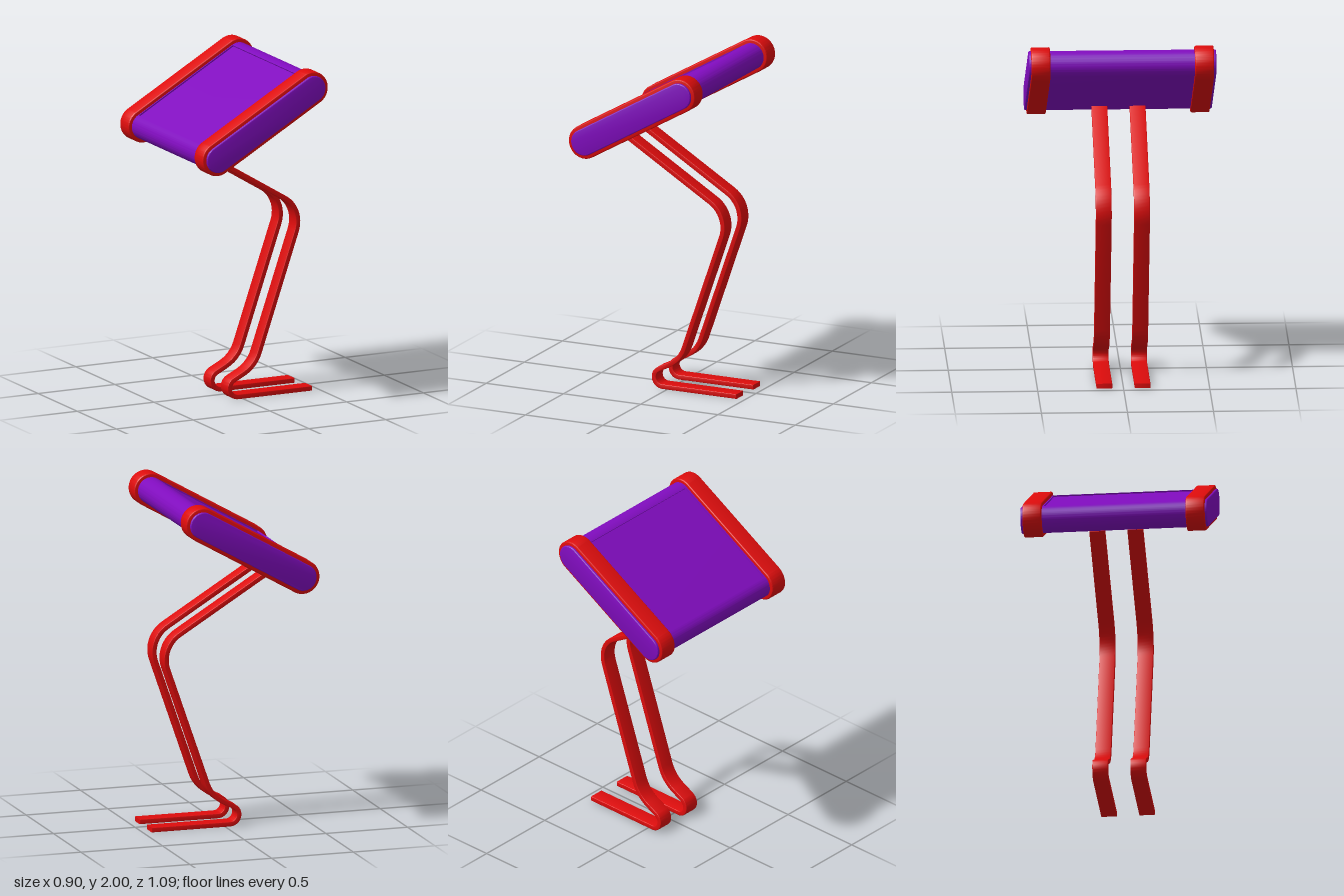
import * as THREE from 'three';
import { toCreasedNormals } from 'three/addons/utils/BufferGeometryUtils.js';

const RED = new THREE.MeshStandardMaterial({ color: 0xdd0c0c });
const PURPLE = new THREE.MeshStandardMaterial({ color: 0x800cbe });

// Tilted head: low end, tilt and distance between the two rounded ends
const LOW = new THREE.Vector2(-0.352, 1.545), HIGH = new THREE.Vector2(0.264, 1.9);
const LENGTH = LOW.distanceTo(HIGH);
const TILT = Math.atan2(HIGH.y - LOW.y, HIGH.x - LOW.x);

// Extrude a shape between two z values, bevel kept inside the outline
function slab(name, shape, z0, z1, bevel, material) {
  const geometry = new THREE.ExtrudeGeometry(shape, {
    depth: z1 - z0 - 2 * bevel, curveSegments: 24, bevelEnabled: bevel > 0,
    bevelThickness: bevel, bevelSize: bevel, bevelOffset: -bevel, bevelSegments: 3,
  });
  geometry.translate(0, 0, z0 + bevel);
  const mesh = new THREE.Mesh(toCreasedNormals(geometry, 0.6), material);
  mesh.name = name;
  return mesh;
}

// Long rounded outline; a recess lowers its flat upper edge
function stadium(r, recess = 0) {
  const s = new THREE.Shape();
  s.moveTo(0, -r);
  s.lineTo(LENGTH, -r);
  s.absarc(LENGTH, 0, r, -Math.PI / 2, Math.PI / 2, false);
  if (recess) {
    s.lineTo(LENGTH - 0.003, r);
    s.lineTo(LENGTH - 0.003, r - recess);
    s.lineTo(0.003, r - recess);
    s.lineTo(0.003, r);
  }
  s.lineTo(0, r);
  s.absarc(0, 0, r, Math.PI / 2, Math.PI * 1.5, false);
  return s;
}

// Polyline with rounded corners, as points with their normals
function filletPath(corners) {
  const out = [];
  const push = (p, n) => out.push({ p, n });
  const dir = (a, b) => b.clone().sub(a).normalize();
  const left = (d) => new THREE.Vector2(-d.y, d.x);
  const pts = corners.map(([x, y]) => new THREE.Vector2(x, y));
  const last = pts.length - 1;
  push(pts[0], left(dir(pts[0], pts[1])));
  for (let i = 1; i < last; i++) {
    const r = corners[i][2];
    const a = dir(pts[i - 1], pts[i]), b = dir(pts[i], pts[i + 1]);
    const turn = Math.atan2(a.cross(b), a.dot(b)), side = Math.sign(turn);
    const start = pts[i].clone().addScaledVector(a, -r * Math.tan(Math.abs(turn) / 2));
    const center = start.clone().addScaledVector(left(a), side * r);
    const steps = Math.ceil(Math.abs(turn) / 0.13);
    for (let k = 0; k <= steps; k++) {
      const n = left(a).rotateAround(new THREE.Vector2(), turn * k / steps);
      push(center.clone().addScaledVector(n, -side * r), n);
    }
  }
  push(pts[last], left(dir(pts[last - 1], pts[last])));
  return out;
}

// Flat strip of constant thickness that follows the path
function stripShape(corners, half) {
  const path = filletPath(corners);
  const edge = (s) => path.map(({ p, n }) => p.clone().addScaledVector(n, s * half));
  return new THREE.Shape([...edge(1), ...edge(-1).reverse()]);
}

export function createModel() {
  const model = new THREE.Group();
  model.name = 'bentLegLamp';

  // Head: body with a shallow recessed panel on top, and a band near each end
  const head = new THREE.Group();
  head.name = 'head';
  head.position.set(LOW.x, LOW.y, 0);
  head.rotation.z = TILT;
  head.add(slab('bodyMiddle', stadium(0.078, 0.008), -0.411, 0.411, 0, PURPLE));
  for (const side of [1, -1]) {
    const end = side > 0 ? 'front' : 'back';
    const span = (a, b) => side > 0 ? [a, b] : [-b, -a];
    head.add(slab(end + 'BodyShoulder', stadium(0.078), ...span(0.411, 0.46), 0, PURPLE));
    head.add(slab(end + 'BodyEnd', stadium(0.078), ...span(0.44, 0.545), 0.006, PURPLE));
    head.add(slab(end + 'Band', stadium(0.1), ...span(0.42, 0.531), 0.007, RED));
  }
  model.add(head);

  // Legs: foot, toe bend, ankle, knee and thigh in one bent strip (x, y, radius)
  const legShape = stripShape([
    [0.45, 0.015],
    [-0.256, 0.015, 0.054],
    [0.082, 0.187, 0.2],
    [0.396, 1.094, 0.172],
    [-0.272, 1.502],
  ], 0.014);
  model.add(slab('frontLeg', legShape, 0.065, 0.157, 0.003, RED));
  model.add(slab('backLeg', legShape, -0.157, -0.065, 0.003, RED));

  return model;
}
